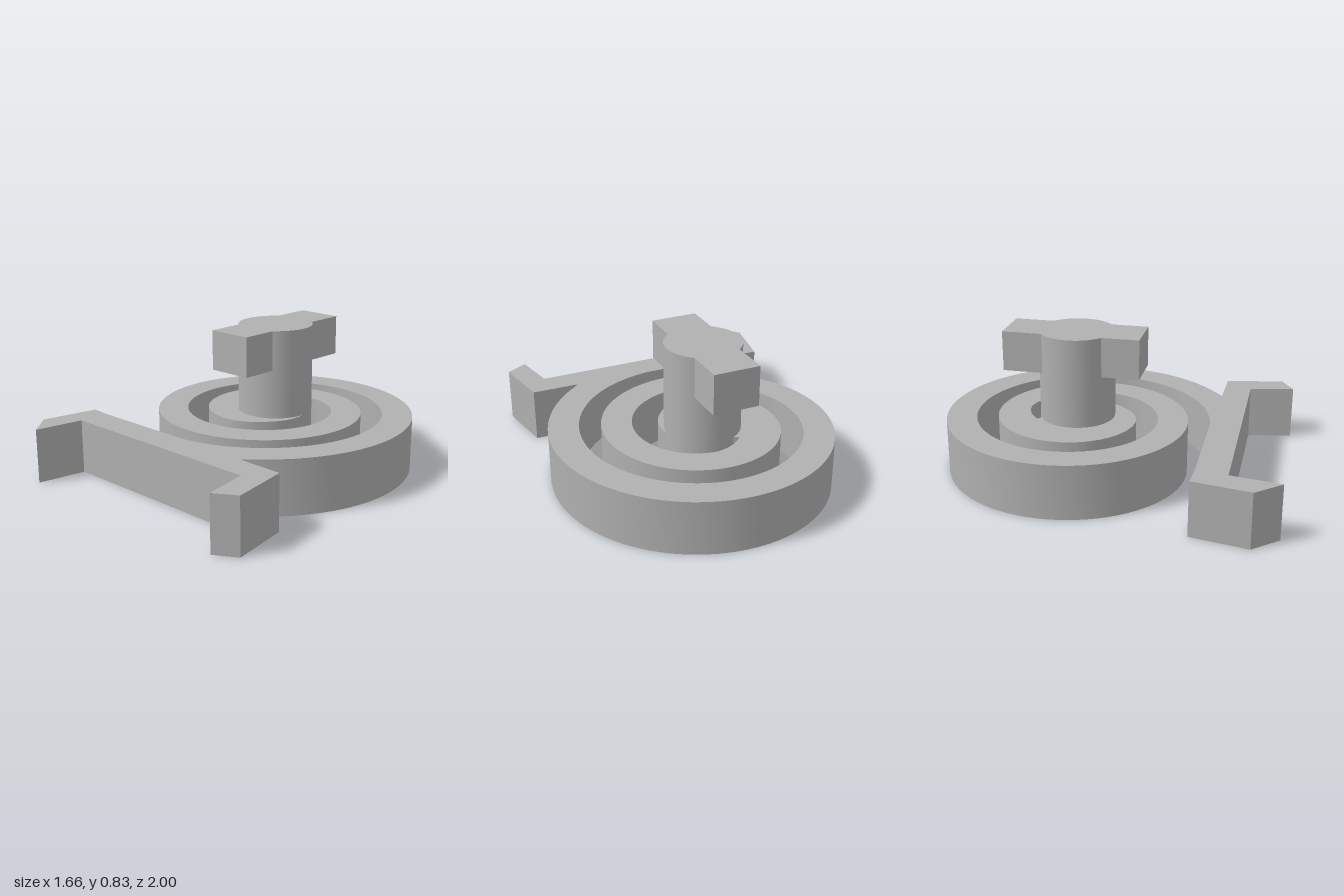
import * as THREE from 'three';
import { toCreasedNormals } from 'three/addons/utils/BufferGeometryUtils.js';

const CX = -0.035, CZ = -0.215; // spiral centre
const clamp01 = (v) => Math.min(1, Math.max(0, v));

// Spiral radii by turn, counted from +x towards the back
const outerRadius = (t) => 0.86 - 0.3 * t - 0.025 * clamp01((t - 1.75) / 0.1);
const innerRadius = (t) => 0.685 - 0.3 * t - 0.038 * clamp01((t - 1.22) / 0.105);

function spiralPoints(radius, from, to, count) {
  const points = [];
  for (let i = 0; i <= count; i++) {
    const t = from + ((to - from) * i) / count;
    const a = t * Math.PI * 2;
    points.push(new THREE.Vector2(CX + radius(t) * Math.cos(a), -CZ + radius(t) * Math.sin(a)));
  }
  return points;
}

export function createModel() {
  const model = new THREE.Group();
  model.name = 'spiralSpringKey';
  const grey = new THREE.MeshStandardMaterial({ color: 0xb0b0b0 });
  grey.name = 'grey';

  const add = (name, geometry, x = 0, y = 0, z = 0) => {
    const mesh = new THREE.Mesh(geometry, grey);
    mesh.name = name;
    mesh.position.set(x, y, z);
    model.add(mesh);
  };

  // Front bar with two splayed feet, as x and z pairs
  const bar = [
    [0, 0.543], [-0.64, 0.545], [-0.77, 0.535], [-0.83, 0.86], [-0.705, 1.0], [-0.66, 0.72],
    [0.61, 0.72], [0.66, 0.98], [0.785, 0.905], [0.725, 0.565], [0.45, 0.56],
  ].map(([x, z]) => new THREE.Vector2(x, -z));

  // Flat spring: bar, outer edge inwards, then inner edge back out
  const outline = [
    ...bar,
    ...spiralPoints(outerRadius, -0.155, 2.22, 170),
    ...spiralPoints(innerRadius, 1.325, -0.235, 115),
  ];
  const spring = new THREE.ExtrudeGeometry(new THREE.Shape(outline), { depth: 0.315, bevelEnabled: false });
  spring.rotateX(-Math.PI / 2);
  add('spiralSpring', toCreasedNormals(spring, 0.4));

  // Centre post and the cross key on top of it
  add('post', new THREE.CylinderGeometry(0.217, 0.217, 0.83, 48), -0.02, 0.415, -0.23);
  add('crossKey', new THREE.BoxGeometry(0.265, 0.23, 0.787), -0.02, 0.715, -0.237);

  return model;
}
